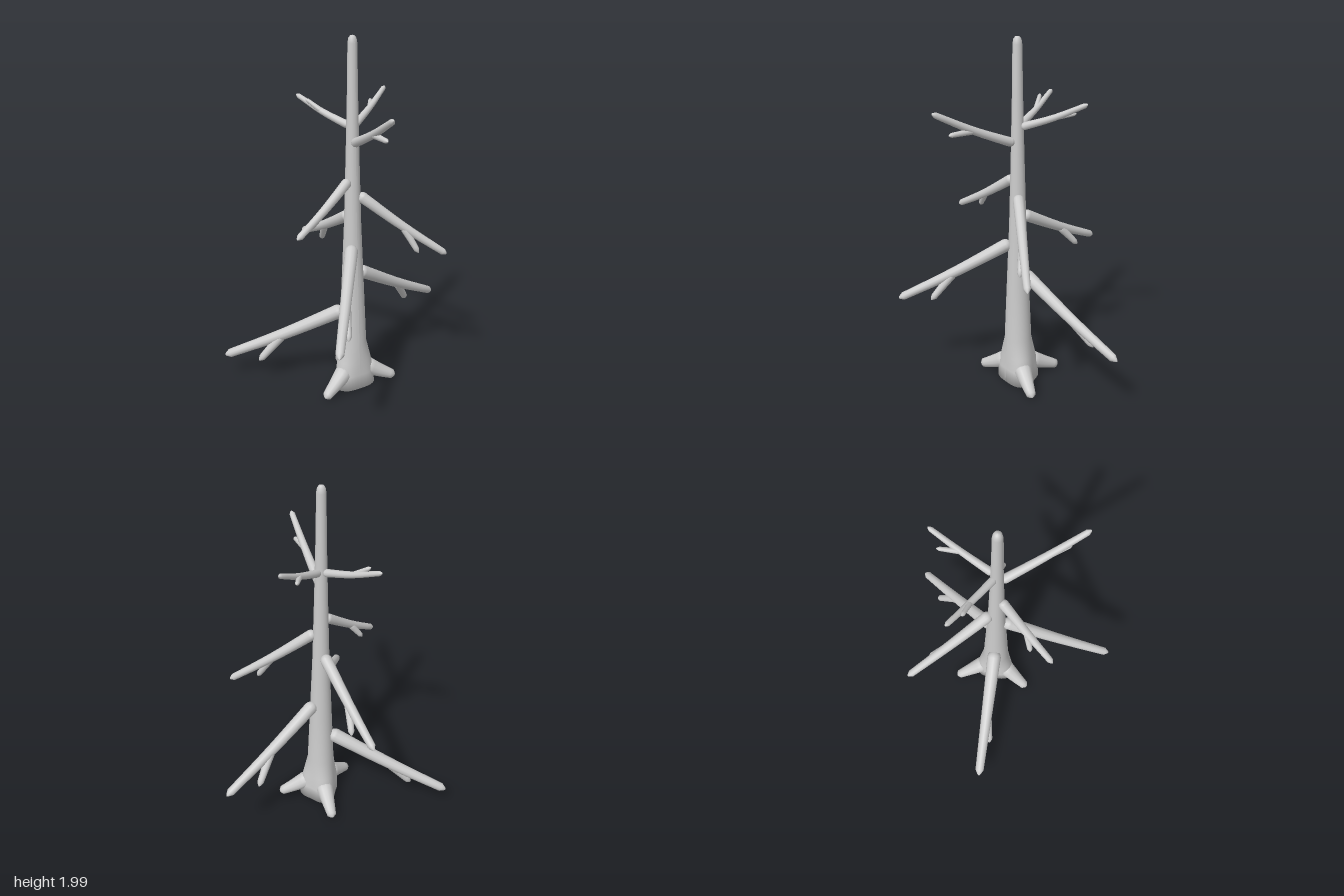
import * as THREE from 'three';

const material = new THREE.MeshStandardMaterial({ color: 0xcccccc });
const CX = -0.025, CZ = 0.01; // trunk axis
const V = (x, y, z) => new THREE.Vector3(x, y, z);

// Smooth tapering limb through points, rounded at the start and pointed at the end.
function limb(name, points, r0, r1, tipLength = 1.4, sides = 12) {
  const curve = new THREE.CatmullRomCurve3(points);
  const length = curve.getLength();
  const rings = [[0, 0]];
  for (const a of [0.35, 0.8, 1.2]) rings.push([(1 - Math.cos(a)) * r0 / length, r0 * Math.sin(a)]);
  const t0 = r0 / length, t1 = 1 - tipLength * r1 / length;
  for (let i = 0; i <= 8; i++) {
    const k = i / 8;
    rings.push([t0 + (t1 - t0) * k, r0 + (r1 - r0) * k]);
  }
  rings.push([1 - 0.25 * tipLength * r1 / length, r1 * 0.4], [1, 0]);

  const pos = [], index = [];
  rings.forEach(([t, r], j) => {
    const c = curve.getPointAt(t), tangent = curve.getTangentAt(t);
    const side = V(-tangent.z, 0, tangent.x).normalize();
    const up = side.clone().cross(tangent);
    for (let i = 0; i < sides; i++) {
      const a = i / sides * Math.PI * 2;
      const p = c.clone().addScaledVector(side, r * Math.cos(a)).addScaledVector(up, r * Math.sin(a));
      pos.push(p.x, p.y, p.z);
      if (j === 0) continue;
      const n = (i + 1) % sides, b = j * sides, d = b - sides;
      index.push(d + i, b + n, d + n, d + i, b + i, b + n);
    }
  });
  // Make sure the faces look outward
  const geo = new THREE.BufferGeometry();
  geo.setAttribute('position', new THREE.Float32BufferAttribute(pos, 3));
  geo.setIndex(index);
  geo.computeVertexNormals();
  const k = 6 * sides, centre = curve.getPointAt(rings[6][0]);
  const out = V(pos[3 * k], pos[3 * k + 1], pos[3 * k + 2]).sub(centre);
  const normal = V().fromBufferAttribute(geo.attributes.normal, k);
  if (out.dot(normal) < 0) {
    geo.setIndex(index.reverse());
    geo.computeVertexNormals();
  }
  const mesh = new THREE.Mesh(geo, material);
  mesh.name = name;
  return mesh;
}

// Root tips on the ground: x, z
const ROOTS = [[0.215, 0.09], [-0.26, 0.11], [0.025, -0.25]];

// Trunk: turned profile, with the foot drawn out towards each root
function makeTrunk() {
  const profile = [[0, 0.015], [0.09, 0.015], [0.087, 0.1], [0.083, 0.18], [0.077, 0.29], [0.064, 0.6],
    [0.047, 1], [0.036, 1.4], [0.029, 1.7], [0.025, 1.96], [0.021, 1.985], [0.012, 1.997], [0, 2]];
  const geo = new THREE.LatheGeometry(profile.map(p => new THREE.Vector2(...p)), 36);
  const p = geo.attributes.position;
  for (let i = 0; i < p.count; i++) {
    const y = p.getY(i), x = p.getX(i), z = p.getZ(i);
    if (y > 0.28) continue;
    let swell = 0;
    for (const [rx, rz] of ROOTS) {
      const d = Math.atan2(z, x) - Math.atan2(rz - CZ, rx - CX);
      swell += Math.max(0, Math.cos(d)) ** 4;
    }
    const s = 1 + 0.4 * swell * Math.min(1, (0.29 - y) / 0.18);
    p.setXYZ(i, x * s, y, z * s);
  }
  geo.computeVertexNormals();
  const mesh = new THREE.Mesh(geo, material);
  mesh.name = 'trunk';
  mesh.position.set(CX, 0, CZ);
  return mesh;
}

// Branches: start height, tip, twig tip, base radius
const BRANCHES = [
  [0.48, [-0.635, 0.14, -0.44], [-0.485, 0.135, -0.285], 0.041],
  [0.71, [0.63, 0.38, -0.15], [0.44, 0.375, -0.155], 0.037],
  [0.88, [-0.415, 0.545, 0.56], [-0.285, 0.545, 0.425], 0.036],
  [1.04, [-0.045, 0.775, -0.565], [0, 0.77, -0.405], 0.033],
  [1.165, [0.415, 0.825, 0.28], [0.27, 0.84, 0.22], 0.031],
  [1.25, [-0.42, 1.02, 0.135], [-0.31, 1.03, 0.06], 0.028],
  [1.45, [-0.08, 1.665, 0.49], [-0.06, 1.545, 0.41], 0.025],
  [1.535, [0.295, 1.685, -0.19], [0.205, 1.62, -0.195], 0.021],
  [1.535, [-0.175, 1.66, -0.34], [-0.165, 1.65, -0.25], 0.021],
];

function makeBranch([y, tip, twigTip, r]) {
  const group = new THREE.Group();
  group.name = 'branch';
  const end = V(...tip);
  const out = V(tip[0] - CX, 0, tip[2] - CZ).normalize();
  const start = V(CX, y, CZ).addScaledVector(out, 0.065 - 0.03 * y);
  const mid = start.clone().lerp(end, 0.5).add(V(0, -0.01, 0));
  group.add(limb('branchStem', [start, mid, end], r, r * 0.62));
  group.add(limb('twig', [mid, V(...twigTip)], r * 0.68, r * 0.5));
  return group;
}

export function createModel() {
  const model = new THREE.Group();
  model.name = 'bareTree';
  model.add(makeTrunk());
  for (const [x, z] of ROOTS) {
    const at = (k, y) => V(CX + (x - CX) * k, y, CZ + (z - CZ) * k);
    model.add(limb('root', [at(0.2, 0.13), at(0.6, 0.075), at(1, 0.027)], 0.05, 0.027, 0.7));
  }
  BRANCHES.forEach(b => model.add(makeBranch(b)));
  return model;
}
